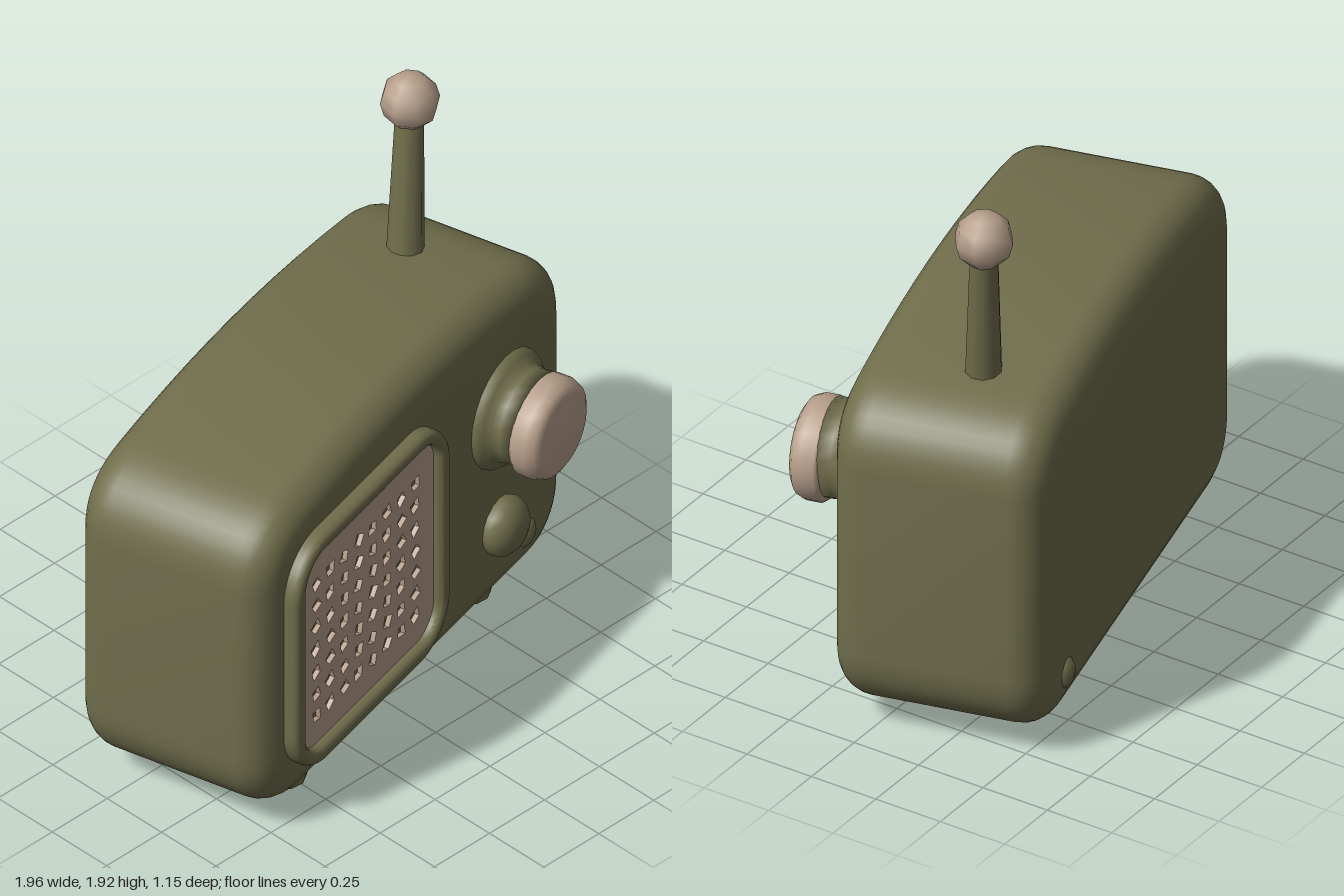
import * as THREE from 'three';
import { toCreasedNormals } from 'three/addons/utils/BufferGeometryUtils.js';

const olive = new THREE.MeshStandardMaterial({ name: 'olive', color: 0x706e4c });
const tan = new THREE.MeshStandardMaterial({ name: 'tan', color: 0xb8a08c });

// Traces a rounded rectangle on a Shape or Path
function roundedRect(path, x0, y0, x1, y1, r) {
  path.moveTo(x0 + r, y0);
  path.lineTo(x1 - r, y0);
  path.absarc(x1 - r, y0 + r, r, -Math.PI / 2, 0);
  path.lineTo(x1, y1 - r);
  path.absarc(x1 - r, y1 - r, r, 0, Math.PI / 2);
  path.lineTo(x0 + r, y1);
  path.absarc(x0 + r, y1 - r, r, Math.PI / 2, Math.PI);
  path.lineTo(x0, y0 + r);
  path.absarc(x0 + r, y0 + r, r, Math.PI, Math.PI * 1.5);
  return path;
}

// Extrudes a shape from z0 to z1, with a soft rounded edge kept inside its outline
function softExtrude(shape, z0, z1, bevel, segments = 6) {
  const geo = new THREE.ExtrudeGeometry(shape, {
    depth: z1 - z0 - 2 * bevel, bevelEnabled: bevel > 0, bevelThickness: bevel,
    bevelSize: bevel, bevelOffset: -bevel, bevelSegments: segments, curveSegments: 10,
  });
  geo.translate(0, 0, z0 + bevel);
  return toCreasedNormals(geo, 0.5);
}

// Turned part whose axis points forward; profile is [radius, distance]
function turned(profile, sides) {
  const geo = new THREE.LatheGeometry(profile.map(([r, d]) => new THREE.Vector2(r, d)), sides);
  return geo.rotateX(Math.PI / 2);
}

export function createModel() {
  const model = new THREE.Group();
  model.name = 'radio';
  const add = (name, geo, mat, x = 0, y = 0, z = 0) => {
    const mesh = new THREE.Mesh(geo, mat);
    mesh.name = name;
    mesh.position.set(x, y, z);
    model.add(mesh);
    return mesh;
  };

  // Case with large round corners and a gently arched top
  const W = 0.945, bottom = 0.07;
  const outline = new THREE.Shape();
  outline.moveTo(-W + 0.24, bottom);
  outline.lineTo(W - 0.24, bottom);
  outline.bezierCurveTo(W - 0.1, bottom, W, bottom + 0.1, W, bottom + 0.25);
  outline.lineTo(W, 1.0);
  outline.bezierCurveTo(W, 1.17, W - 0.11, 1.25, W - 0.26, 1.27);
  outline.quadraticCurveTo(0, 1.37, -W + 0.26, 1.27);
  outline.bezierCurveTo(-W + 0.11, 1.25, -W, 1.17, -W, 1.0);
  outline.lineTo(-W, bottom + 0.25);
  outline.bezierCurveTo(-W, bottom + 0.1, -W + 0.1, bottom, -W + 0.24, bottom);
  add('case', softExtrude(outline, -0.39, 0.343, 0.12), olive);

  // Raised frame around the speaker
  const frame = roundedRect(new THREE.Shape(), -0.825, 0.2, 0.13, 1.12, 0.19);
  frame.holes.push(roundedRect(new THREE.Path(), -0.762, 0.262, 0.07, 1.06, 0.11));
  add('speakerFrame', softExtrude(frame, 0.3, 0.397, 0.025, 4), olive);

  // Speaker plate with rows of small, uneven punched holes
  const plate = roundedRect(new THREE.Shape(), -0.775, 0.25, 0.083, 1.072, 0.12);
  for (let row = 0; row < 7; row++) {
    for (let col = 0; col < 8; col++) {
      const cx = -0.655 + col * 0.0875, cy = 0.375 + row * 0.09;
      const turn = Math.sin(row * 12.9 + col * 7.3) * 0.5;
      const hole = new THREE.Path();
      for (let k = 0; k < 4; k++) {
        const a = turn + Math.PI / 4 - k * Math.PI / 2;
        const r = 0.03 + 0.006 * Math.sin(row * 5 + col * 3 + k * 2);
        hole[k ? 'lineTo' : 'moveTo'](cx + r * Math.cos(a), cy + r * Math.sin(a));
      }
      hole.closePath();
      plate.holes.push(hole);
    }
  }
  add('speakerPlate', softExtrude(plate, 0.345, 0.362, 0), tan);

  // Tuning knob: flared olive collar with a tan cap
  add('tuningCollar', turned([[0.215, 0.32], [0.21, 0.355], [0.195, 0.375], [0.172, 0.39],
    [0.165, 0.42], [0.168, 0.47], [0, 0.47]], 24), olive, 0.545, 0.83, 0);
  add('tuningCap', turned([[0, 0.455], [0.165, 0.455], [0.178, 0.47], [0.178, 0.52],
    [0.165, 0.55], [0.14, 0.565], [0, 0.572]], 24), tan, 0.545, 0.82, 0);

  // Small domed knob
  add('volumeKnob', turned([[0.1, 0.33], [0.107, 0.365], [0.098, 0.395], [0.07, 0.42],
    [0.035, 0.432], [0, 0.436]], 16), olive, 0.505, 0.385, 0);

  // Little pegs low on the front and back
  for (const z of [0.32, -0.37]) {
    const peg = add('peg', new THREE.SphereGeometry(0.06, 12, 8), olive, 0.68, 0.23, z);
    peg.scale.z = 0.75;
  }

  // Four tapered feet
  for (const x of [-0.57, 0.57]) {
    for (const z of [0.185, -0.215]) {
      add('foot', new THREE.CylinderGeometry(0.105, 0.075, 0.11, 10), olive, x, 0.055, z);
    }
  }

  // Leaning antenna with a ball tip
  const base = new THREE.Vector3(0.605, 1.24, -0.075);
  const tip = new THREE.Vector3(0.684, 1.82, -0.105);
  const lean = tip.clone().sub(base);
  const mid = base.clone().addScaledVector(lean, 0.5);
  const rod = add('antenna', new THREE.CylinderGeometry(0.046, 0.063, lean.length(), 10),
    olive, mid.x, mid.y, mid.z);
  rod.quaternion.setFromUnitVectors(new THREE.Vector3(0, 1, 0), lean.clone().normalize());
  add('antennaBall', new THREE.SphereGeometry(0.1, 8, 6), tan, tip.x, tip.y, tip.z);

  // The whole radio stands turned a little to one side
  model.rotation.y = 0.24;
  const root = new THREE.Group();
  root.add(model);
  return root;
}
